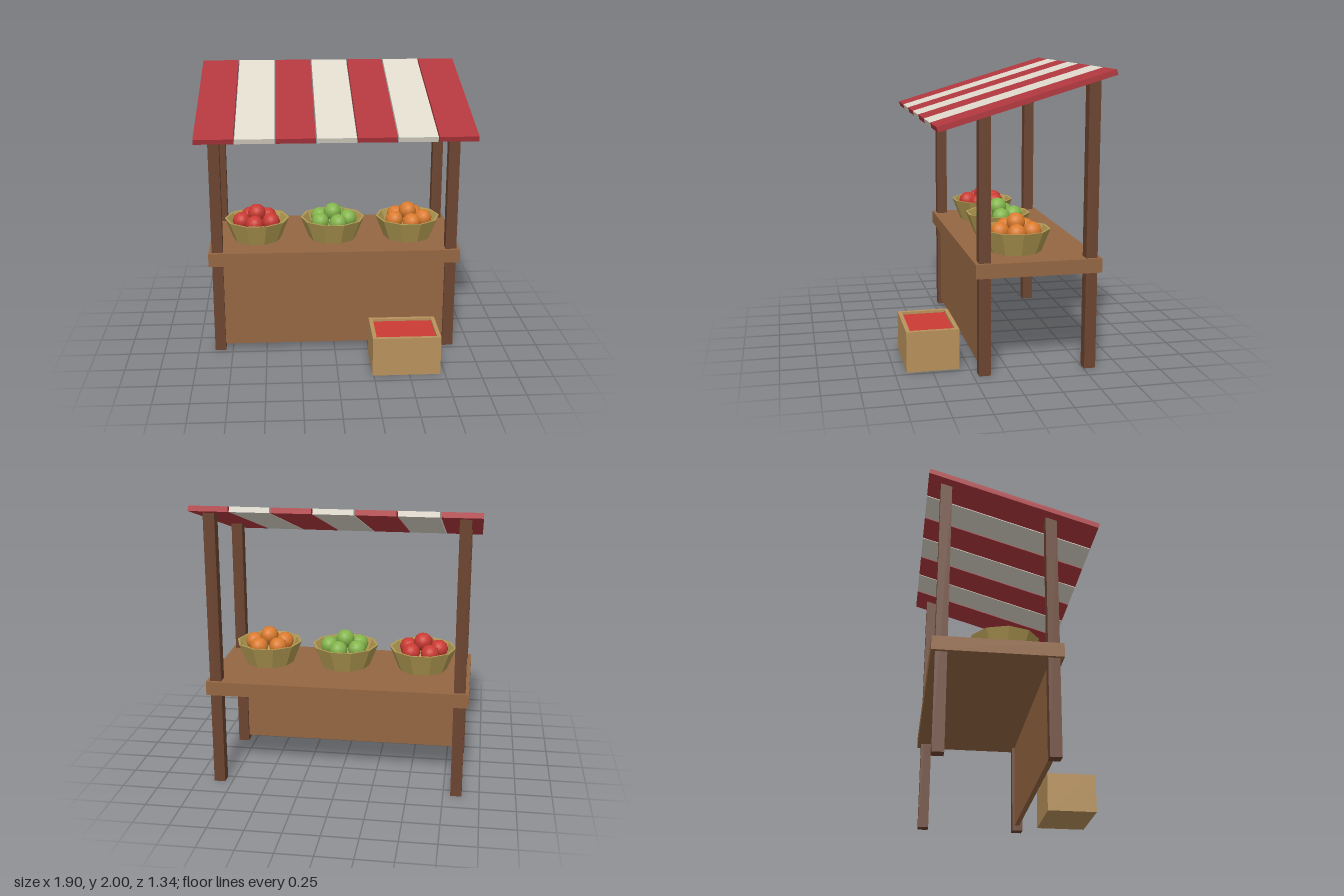
import * as THREE from 'three';

const mat = (name, color) => {
  const m = new THREE.MeshStandardMaterial({ color });
  m.name = name;
  return m;
};

export function createModel() {
  const darkWood = mat('dark wood', 0x6b4430);
  const counterWood = mat('counter wood', 0x946642);
  const crateWood = mat('crate wood', 0xb8925c);
  const wicker = mat('wicker', 0xb39b53);
  const awningRed = mat('awning red', 0xb2383f);
  const awningCream = mat('awning cream', 0xe0dacd);
  const fruitRed = mat('fruit red', 0xcc3b34);
  const fruitGreen = mat('fruit green', 0x84b64c);
  const fruitOrange = mat('fruit orange', 0xdc7c2e);
  wicker.flatShading = true;

  const stall = new THREE.Group();
  stall.name = 'marketStall';

  const add = (parent, name, geometry, material, x, y, z) => {
    const mesh = new THREE.Mesh(geometry, material);
    mesh.name = name;
    mesh.position.set(x, y, z);
    parent.add(mesh);
    return mesh;
  };
  // Box given by its minimum and maximum on each axis
  const box = (parent, name, material, [x0, x1], [y0, y1], [z0, z1]) =>
    add(parent, name, new THREE.BoxGeometry(x1 - x0, y1 - y0, z1 - z0), material,
      (x0 + x1) / 2, (y0 + y1) / 2, (z0 + z1) / 2);

  // Posts: short at the front, tall at the back
  for (const s of [-1, 1]) {
    const xs = [s * 0.84 - 0.039, s * 0.84 + 0.039];
    box(stall, 'frontPost', darkWood, xs, [0, 1.73], [0.136, 0.214]);
    box(stall, 'backPost', darkWood, xs, [0, 1.955], [-0.584, -0.506]);
  }

  // Counter and front panel
  box(stall, 'counterTop', counterWood, [-0.903, 0.903], [0.667, 0.763], [-0.61, 0.24]);
  box(stall, 'frontPanel', counterWood, [-0.82, 0.82], [0.04, 0.67], [0.155, 0.19]);

  // Sloping striped awning
  const awning = new THREE.Group();
  awning.name = 'awning';
  awning.position.set(0, 1.8125, -0.087);
  awning.rotation.x = THREE.MathUtils.degToRad(16.4);
  stall.add(awning);
  for (let i = -3; i <= 3; i++) {
    add(awning, 'awningStripe', new THREE.BoxGeometry(0.265, 0.036, 1.203),
      i % 2 ? awningRed : awningCream, i * 0.273, 0, 0);
  }
  // Odd stripes, including both ends, are red; even ones are cream

  // Ten-sided baskets, each with a ring of fruit and one on top
  const basketProfile = [[0, 0], [0.175, 0], [0.238, 0.157], [0.222, 0.157], [0.166, 0.02], [0, 0.02]]
    .map(([r, y]) => new THREE.Vector2(r, y));
  const basketGeometry = new THREE.LatheGeometry(basketProfile, 10);
  const fruitGeometry = new THREE.IcosahedronGeometry(0.066, 1);
  const addBasket = (x, fruit, turn) => {
    const group = new THREE.Group();
    group.name = 'fruitBasket';
    group.position.set(x, 0.763, -0.105);
    stall.add(group);
    add(group, 'basket', basketGeometry, wicker, 0, 0, 0).rotation.y = Math.PI / 2;
    for (let i = 0; i < 5; i++) {
      const a = THREE.MathUtils.degToRad(turn + i * 72);
      add(group, 'fruit', fruitGeometry, fruit, 0.115 * Math.cos(a), 0.142, 0.115 * Math.sin(a));
    }
    add(group, 'topFruit', fruitGeometry, fruit, 0, 0.197, 0);
  };
  addBasket(-0.56, fruitRed, 25);
  addBasket(0, fruitGreen, 0);
  addBasket(0.56, fruitOrange, 10);

  // Open crate on the ground, filled nearly to the rim
  const crate = new THREE.Group();
  crate.name = 'crate';
  stall.add(crate);
  const [x0, x1, z0, z1, t] = [0.24, 0.716, 0.315, 0.672, 0.028];
  box(crate, 'crateBottom', crateWood, [x0 + t, x1 - t], [0, 0.03], [z0 + t, z1 - t]);
  box(crate, 'crateFront', crateWood, [x0, x1], [0, 0.28], [z1 - t, z1]);
  box(crate, 'crateBack', crateWood, [x0, x1], [0, 0.28], [z0, z0 + t]);
  box(crate, 'crateSide', crateWood, [x0, x0 + t], [0, 0.28], [z0 + t, z1 - t]);
  box(crate, 'crateSide', crateWood, [x1 - t, x1], [0, 0.28], [z0 + t, z1 - t]);
  box(crate, 'crateFilling', fruitRed, [x0 + t, x1 - t], [0.03, 0.262], [z0 + t, z1 - t]);

  return stall;
}
